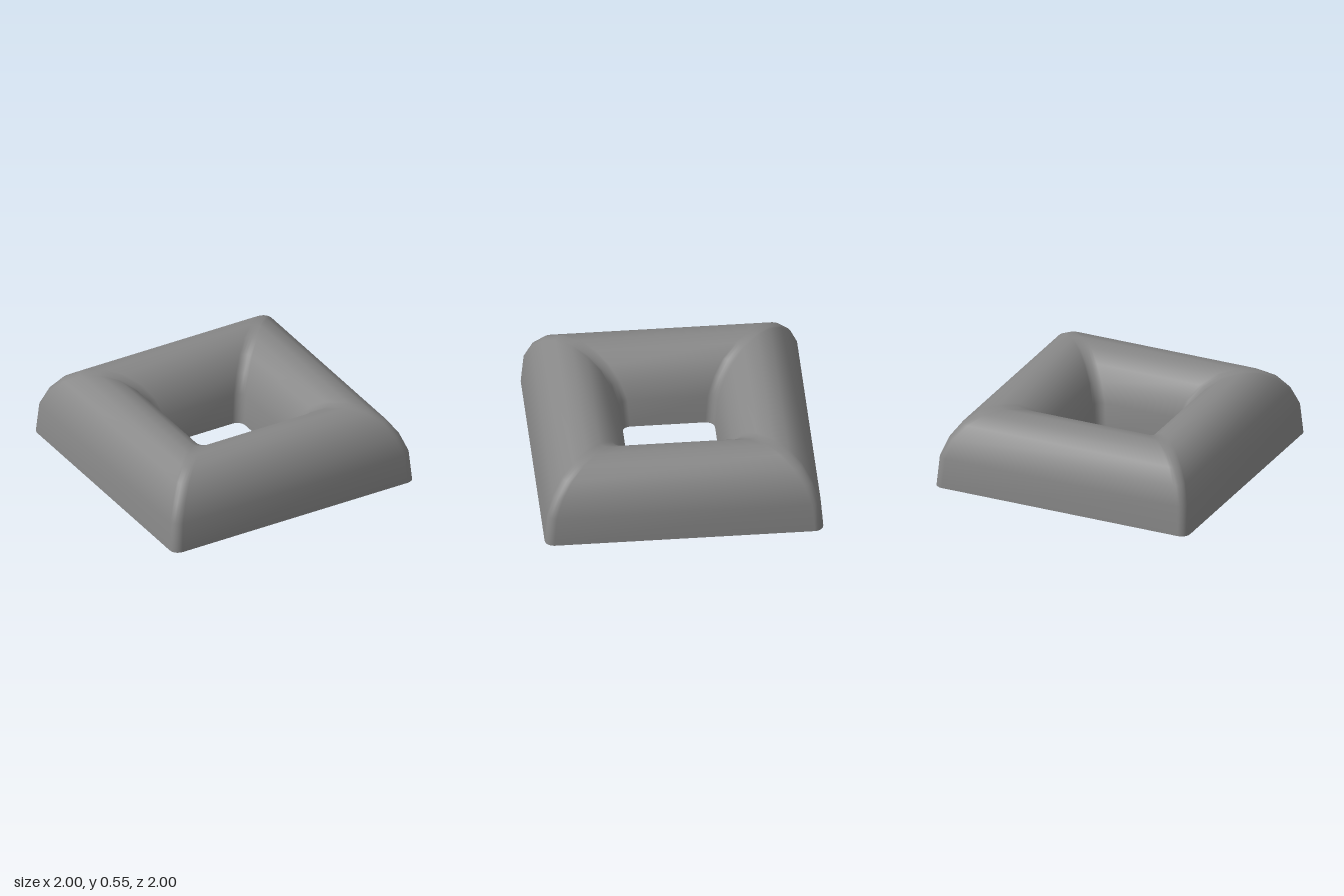
import * as THREE from 'three';

const CORNER_RADIUS = 0.066;
const CORNER_STEPS = 5;

// Horizontal rounded square of half-width h at height y
function roundedSquare(h, y) {
  const points = [];
  const c = h - CORNER_RADIUS;
  for (let q = 0; q < 4; q++) {
    const mid = Math.PI / 4 + q * Math.PI / 2;
    const cx = Math.sign(Math.cos(mid)) * c;
    const cz = Math.sign(Math.sin(mid)) * c;
    for (let i = 0; i <= CORNER_STEPS; i++) {
      const a = (q + i / CORNER_STEPS) * Math.PI / 2;
      points.push([cx + CORNER_RADIUS * Math.cos(a), y, cz + CORNER_RADIUS * Math.sin(a)]);
    }
  }
  return points;
}

// Skin joining successive closed loops of a [halfWidth, height] profile
function loft(profile) {
  const loops = profile.map(([h, y]) => roundedSquare(h, y));
  const n = loops[0].length;
  const index = [];
  for (let j = 0; j < loops.length - 1; j++) {
    for (let i = 0; i < n; i++) {
      const k = (i + 1) % n;
      const a = j * n + i, b = j * n + k, c = a + n, d = b + n;
      index.push(a, c, b, b, c, d);
    }
  }
  const geometry = new THREE.BufferGeometry();
  geometry.setAttribute('position', new THREE.Float32BufferAttribute(loops.flat(2), 3));
  geometry.setIndex(index);
  geometry.computeVertexNormals();
  return geometry;
}

export function createModel() {
  const group = new THREE.Group();
  group.name = 'squareRing';
  const material = new THREE.MeshStandardMaterial({ color: 0x878787 });

  // Arched cross-section: outer wall, crest, then the mirrored inner wall
  const crest = 0.667;
  const outer = [[1, 0], [0.982, 0.225], [0.932, 0.36], [0.862, 0.46], [0.77, 0.527], [crest, 0.547]];
  const inner = outer.slice(0, -1).reverse().map(([h, y]) => [2 * crest - h, y]);

  const body = new THREE.Mesh(loft([...outer, ...inner]), material);
  body.name = 'archedRing';

  // Flat underside
  const base = new THREE.Mesh(loft([[2 * crest - 1, 0], [1, 0]]), material);
  base.name = 'underside';

  group.add(body, base);
  return group;
}
